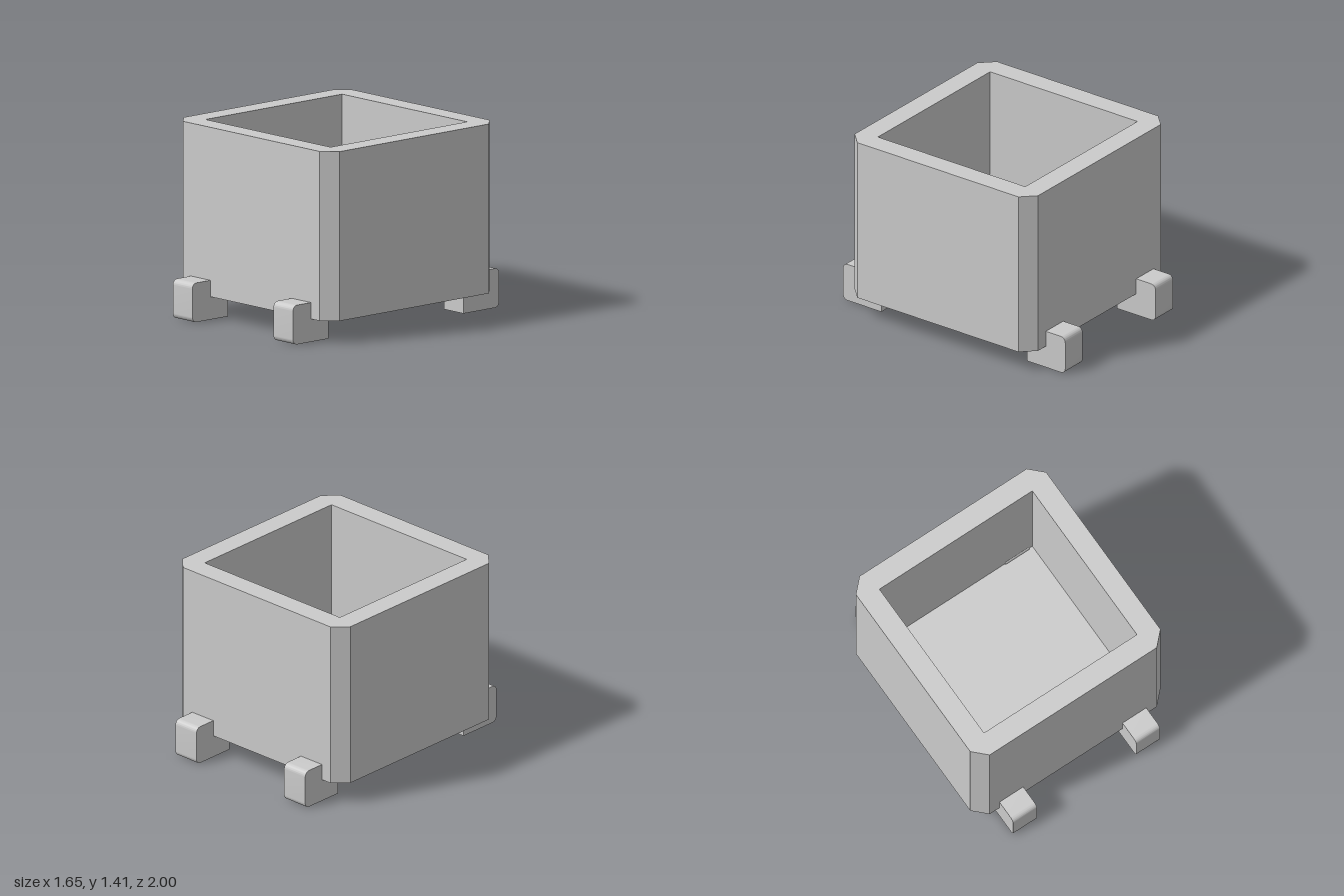
import * as THREE from 'three';
import { toCreasedNormals } from 'three/addons/utils/BufferGeometryUtils.js';

const material = new THREE.MeshStandardMaterial({ color: 0xcccccc });

const BASE = 0.167, TOP = 1.405; // box bottom and rim heights
const HALF = 0.825, CHAMFER = 0.1; // outer footprint
const INNER = 0.663, FLOOR = 0.08; // cavity half width and floor thickness

function addMesh(parent, name, geometry) {
  const mesh = new THREE.Mesh(geometry, material);
  mesh.name = name;
  parent.add(mesh);
  return mesh;
}

// Chamfered square ring, extruded upwards
function wallsGeometry() {
  const h = HALF, c = HALF - CHAMFER, i = INNER;
  const points = (list) => list.map(([x, y]) => new THREE.Vector2(x, y));
  const shape = new THREE.Shape(points([
    [c, -h], [h, -c], [h, c], [c, h], [-c, h], [-h, c], [-h, -c], [-c, -h],
  ]));
  shape.holes.push(new THREE.Path(points([[-i, -i], [-i, i], [i, i], [i, -i]])));
  return new THREE.ExtrudeGeometry(shape, { depth: TOP - BASE, bevelEnabled: false })
    .rotateX(-Math.PI / 2)
    .translate(0, BASE, 0);
}

// Foot profile in depth and height: square at the inner bottom, rounded elsewhere
function footGeometry() {
  const a = 0.655, b = 1, h = 0.287, r = 0.04, width = 0.206;
  const shape = new THREE.Shape();
  shape.moveTo(a, 0);
  shape.lineTo(b - r, 0);
  shape.absarc(b - r, r, r, -Math.PI / 2, 0);
  shape.lineTo(b, h - r);
  shape.absarc(b - r, h - r, r, 0, Math.PI / 2);
  shape.lineTo(a + r, h);
  shape.absarc(a + r, h - r, r, Math.PI / 2, Math.PI);
  shape.lineTo(a, 0);
  const geometry = new THREE.ExtrudeGeometry(shape, { depth: width, bevelEnabled: false, curveSegments: 8 })
    .translate(0, 0, -width / 2)
    .rotateY(-Math.PI / 2);
  return toCreasedNormals(geometry, 0.5);
}

export function createModel() {
  const model = new THREE.Group();
  model.name = 'footedBox';

  // Open box
  addMesh(model, 'walls', wallsGeometry());
  addMesh(model, 'floor', new THREE.BoxGeometry(INNER * 2, FLOOR, INNER * 2))
    .position.y = BASE + FLOOR / 2;

  // Four feet, gripping the lower front and back edges
  const foot = footGeometry();
  for (const [end, turn] of [['front', 0], ['back', Math.PI]]) {
    for (const [side, x] of [['Left', 0.53], ['Right', -0.537]]) {
      const mesh = addMesh(model, `${end}${side}Foot`, foot);
      mesh.position.x = x;
      mesh.rotation.y = turn;
    }
  }
  return model;
}
